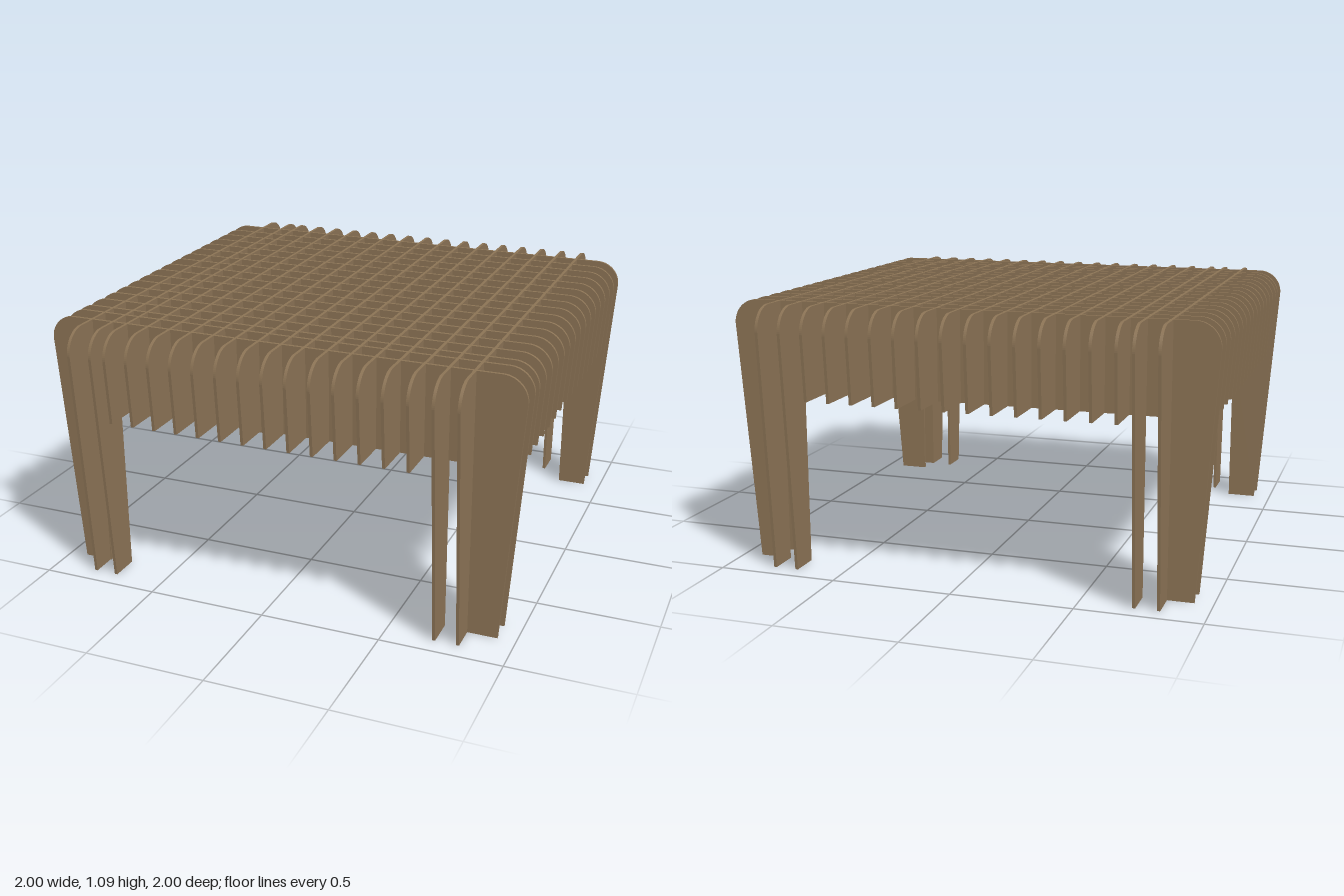
import * as THREE from 'three';

const H = 1.09;        // overall height
const RAIL = 0.72;     // underside of the top grid
const T = 0.012;       // sheet thickness
const R = 0.1;         // corner radius
const wood = new THREE.MeshStandardMaterial({ color: 0x8b7355 });

// outer edge of a panel, leaning inwards towards the floor
const edgeX = (y) => 0.925 + 0.075 * Math.min(1, y / (H - R));

// side profile of one interlocking sheet, with or without legs
function panelGeometry(hasLegs) {
  const s = new THREE.Shape();
  if (hasLegs) {
    s.moveTo(-0.803, RAIL);
    s.lineTo(0.803, RAIL);
    s.lineTo(0.803, 0);
    s.lineTo(edgeX(0), 0);
  } else {
    s.moveTo(-edgeX(RAIL), RAIL);
    s.lineTo(edgeX(RAIL), RAIL);
  }
  s.absarc(1 - R, H - R, R, 0, Math.PI / 2, false);
  s.absarc(R - 1, H - R, R, Math.PI / 2, Math.PI, false);
  if (hasLegs) {
    s.lineTo(-edgeX(0), 0);
    s.lineTo(-0.803, 0);
  }
  s.closePath();
  const g = new THREE.ExtrudeGeometry(s, { depth: T, bevelEnabled: false, curveSegments: 10 });
  return g.translate(0, 0, -T / 2);
}

export function createModel() {
  const table = new THREE.Group();
  table.name = 'slattedTable';
  const legGeo = panelGeometry(true);
  const slatGeo = panelGeometry(false);

  // sheet spacing: an outer pair, then an even run to the far side
  const positions = [-0.813, -0.717];
  for (let i = 0; i < 16; i++) positions.push(-0.652 + i * 0.0966);

  positions.forEach((p, i) => {
    const hasLegs = i < 2 || i >= positions.length - 2;
    const geo = hasLegs ? legGeo : slatGeo;
    const kind = hasLegs ? 'legPanel' : 'slat';

    // sheet running side to side
    const across = new THREE.Mesh(geo, wood);
    across.name = kind + 'Across' + i;
    across.position.z = -p;

    // sheet running front to back
    const along = new THREE.Mesh(geo, wood);
    along.name = kind + 'Along' + i;
    along.rotation.y = Math.PI / 2;
    along.position.x = p;

    table.add(across, along);
  });
  return table;
}
